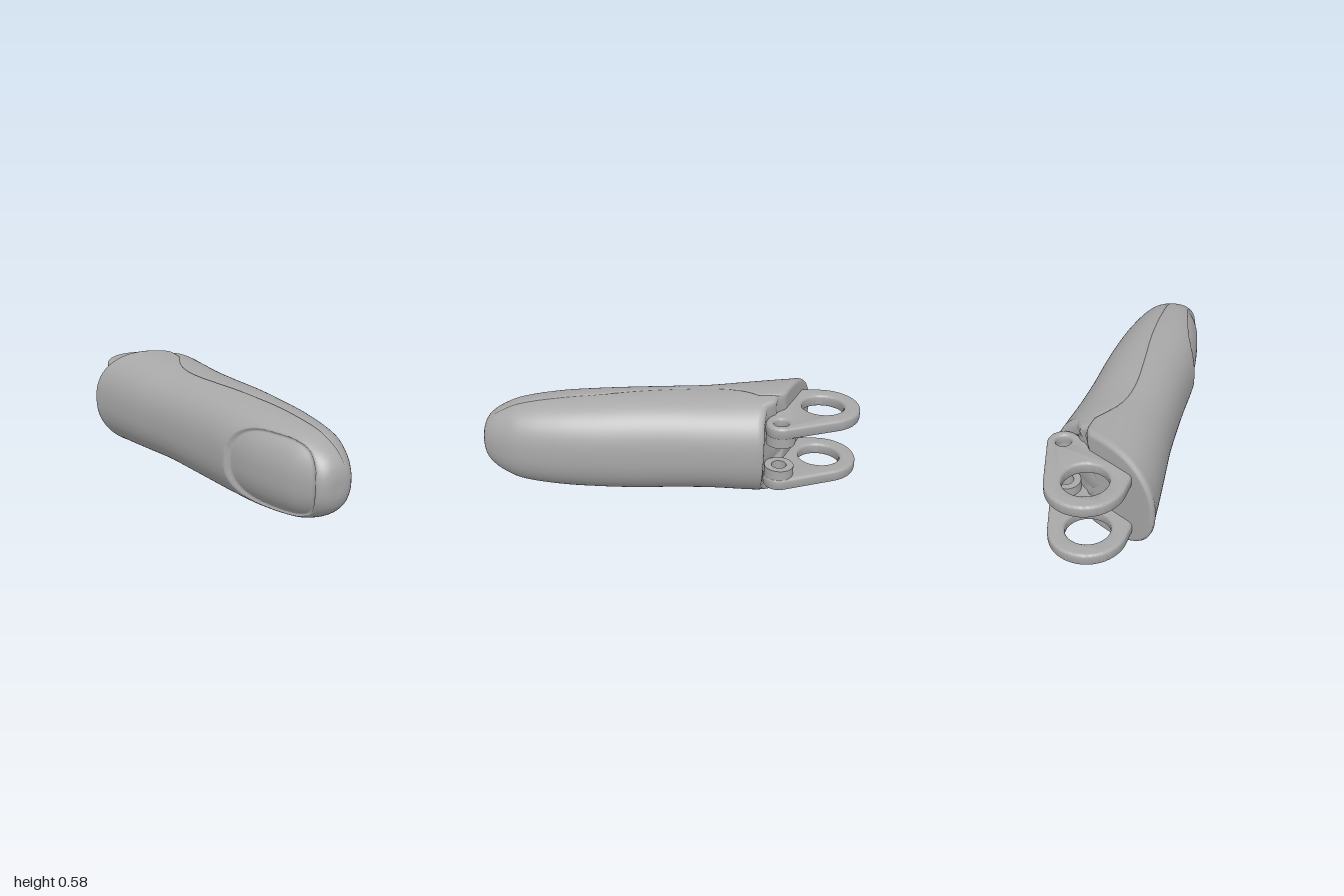
import * as THREE from 'three';
import { toCreasedNormals } from 'three/addons/utils/BufferGeometryUtils.js';

const grey = new THREE.MeshStandardMaterial({ color: 0xa8a8a8 });
grey.name = 'plain grey';

const MID = 0.287; // height of the long axis
const POWER = 2.3; // squareness of the cross-sections

// z, left edge, right edge, half height
const PROFILE = [
  [-0.8, -0.312, 0.302, 0.293], [-0.6, -0.29, 0.302, 0.287], [-0.4, -0.265, 0.295, 0.277],
  [-0.2, -0.24, 0.283, 0.266], [0, -0.225, 0.277, 0.265], [0.2, -0.215, 0.28, 0.264],
  [0.4, -0.21, 0.277, 0.257], [0.6, -0.195, 0.262, 0.245], [0.8, -0.155, 0.225, 0.217],
  [0.9, -0.115, 0.178, 0.178], [0.96, -0.08, 0.137, 0.135], [0.99, -0.05, 0.105, 0.09],
  [1, -0.02, 0.075, 0.05],
];
// seam between the two shells: z, x
const SEAM = [[-0.6, 0.08], [-0.35, 0], [-0.12, -0.02], [0.1, 0], [0.4, 0.04], [0.7, 0.06], [1, 0.072]];
// slanted rear edge with a relief around the knuckle: x, z
const REAR = [
  [-0.31, -0.785], [-0.27, -0.765], [-0.15, -0.703], [0.075, -0.592], [0.09, -0.55],
  [0.13, -0.54], [0.16, -0.49], [0.23, -0.472], [0.3, -0.47],
];

// Hermite (or linear) lookup in a table keyed by its first column
function sample(table, t, col, linear = false) {
  const last = table.length - 1;
  if (t <= table[0][0]) return table[0][col];
  if (t >= table[last][0]) return table[last][col];
  let i = 0;
  while (t > table[i + 1][0]) i++;
  const a = table[i], b = table[i + 1], h = b[0] - a[0], u = (t - a[0]) / h;
  if (linear) return a[col] + (b[col] - a[col]) * u;
  const slope = (k) => {
    const p = table[Math.max(0, k - 1)], q = table[Math.min(last, k + 1)];
    return (q[col] - p[col]) / (q[0] - p[0]);
  };
  const u2 = u * u, u3 = u2 * u;
  return (2 * u3 - 3 * u2 + 1) * a[col] + (u3 - 2 * u2 + u) * h * slope(i)
    + (3 * u2 - 2 * u3) * b[col] + (u3 - u2) * h * slope(i + 1);
}

const signedPow = (v, p) => Math.sign(v) * Math.abs(v) ** p;

// Point on the body skin; scale shrinks the ring, push moves it along z
function bodyPoint(w, angle, scale, push) {
  const c = signedPow(Math.cos(angle), 2 / POWER), s = signedPow(Math.sin(angle), 2 / POWER);
  const k = THREE.MathUtils.clamp((-0.2 - w) / 0.6, 0, 1);
  let z = w, x = 0, y = 0;
  for (let pass = 0; pass < 4; pass++) {
    const l = sample(PROFILE, z, 1), r = sample(PROFILE, z, 2);
    x = (l + r) / 2 + c * scale * (r - l) / 2;
    y = s * scale * sample(PROFILE, z, 3);
    if (k > 0) z = -0.2 + k * (sample(REAR, x, 1, true) + 0.2);
  }
  // sunken nail bed
  if (c < 0 && z > 0.4) {
    const d = 1 - (Math.abs(z - 0.69) / 0.27) ** 3 - (Math.abs(y) / 0.2) ** 2.4;
    x += 0.024 * THREE.MathUtils.smoothstep(d, 0, 0.16);
  }
  return [x, MID + y, z + push];
}

// One shell of the body, from seam to seam
function shell(isLeftOfSeam) {
  const rings = []; // [w, scale, push]
  for (const s of [0, 0.2, 0.4, 0.6, 0.75, 0.88]) rings.push([-0.8, s, 0]);
  rings.push([-0.8, 0.93, 0], [-0.8, 0.965, 0.003], [-0.8, 0.99, 0.014], [-0.8, 1, 0.032]);
  for (let w = -0.74; w < 0.395; w += 0.04) rings.push([w, 1, 0]);
  for (let w = 0.4; w < 0.955; w += 0.012) rings.push([w, 1, 0]);
  for (const w of [0.96, 0.97, 0.98, 0.988, 0.995, 1]) rings.push([w, 1, 0]);
  rings.push([1, 0.5, 0], [1, 0, 0]);

  const N = 72, pos = [], index = [];
  rings.forEach(([w, scale, push], i) => {
    const l = sample(PROFILE, w, 1), r = sample(PROFILE, w, 2);
    const v = THREE.MathUtils.clamp((sample(SEAM, w, 1) - (l + r) / 2) / ((r - l) / 2), -0.85, 0.85);
    const t0 = Math.acos(signedPow(v, POWER / 2));
    const from = isLeftOfSeam ? t0 : -t0, to = isLeftOfSeam ? 2 * Math.PI - t0 : t0;
    for (let j = 0; j <= N; j++) {
      // the edge rows tuck in to form the groove
      const edge = j === 0 || j === N;
      const u = edge ? j / N : 0.006 + 0.988 * (j - 1) / (N - 2);
      pos.push(...bodyPoint(w, from + (to - from) * u, scale * (edge ? 0.982 : 1), push));
      if (i < rings.length - 1 && j < N) {
        const a = i * (N + 1) + j, b = a + 1, d = a + N + 1;
        index.push(a, b, d, b, d + 1, d);
      }
    }
  });
  const g = new THREE.BufferGeometry();
  g.setAttribute('position', new THREE.Float32BufferAttribute(pos, 3));
  g.setIndex(index);
  g.computeVertexNormals();
  return g;
}

// Extrude a plan-view shape (its y is -z) upwards from y0 to y1
function slab(shape, y0, y1, bevel) {
  const g = new THREE.ExtrudeGeometry(shape, {
    depth: y1 - y0 - 2 * bevel, bevelEnabled: bevel > 0, bevelSize: bevel,
    bevelThickness: bevel, bevelSegments: 4, curveSegments: 32,
  });
  g.rotateX(-Math.PI / 2).translate(0, y0 + bevel, 0);
  return toCreasedNormals(g, 0.6);
}

const BIG = [0.012, 0.8, 0.195], SMALL = [0.21, 0.56, 0.08];

function addHole(shape, [x, y], r) {
  const p = new THREE.Path();
  p.absarc(x, y, r, 0, Math.PI * 2, true);
  shape.holes.push(p);
}

// Hinge plate outline: large eye and small pin eye joined by a tangent
function hingeShape(bevel) {
  const s = new THREE.Shape();
  s.absarc(SMALL[0], SMALL[1], SMALL[2] - bevel, -2.2, 0.284, false);
  s.absarc(BIG[0], BIG[1], BIG[2] - bevel, 0.284, Math.PI, false);
  s.lineTo(-0.17, 0.68);
  s.lineTo(0.02, 0.55);
  s.lineTo(0.12, 0.53);
  s.closePath();
  addHole(s, BIG, 0.112 + bevel);
  addHole(s, SMALL, 0.039 + bevel);
  return s;
}

function bossShape() {
  const s = new THREE.Shape();
  s.absarc(SMALL[0], SMALL[1], SMALL[2] - 0.004, 0, Math.PI * 2, false);
  addHole(s, SMALL, 0.039);
  return s;
}

export function createModel() {
  const model = new THREE.Group();
  model.name = 'fingertipSegment';
  const add = (name, geometry) => {
    const m = new THREE.Mesh(geometry, grey);
    m.name = name;
    model.add(m);
  };
  add('nailSideShell', shell(true));
  add('padSideShell', shell(false));
  add('upperHingePlate', slab(hingeShape(0.015), 0.405, 0.47, 0.015));
  add('lowerHingePlate', slab(hingeShape(0.015), 0.105, 0.17, 0.015));
  add('upperPinBoss', slab(bossShape(), 0.355, 0.42, 0));
  add('lowerPinBoss', slab(bossShape(), 0.155, 0.22, 0));
  return model;
}
